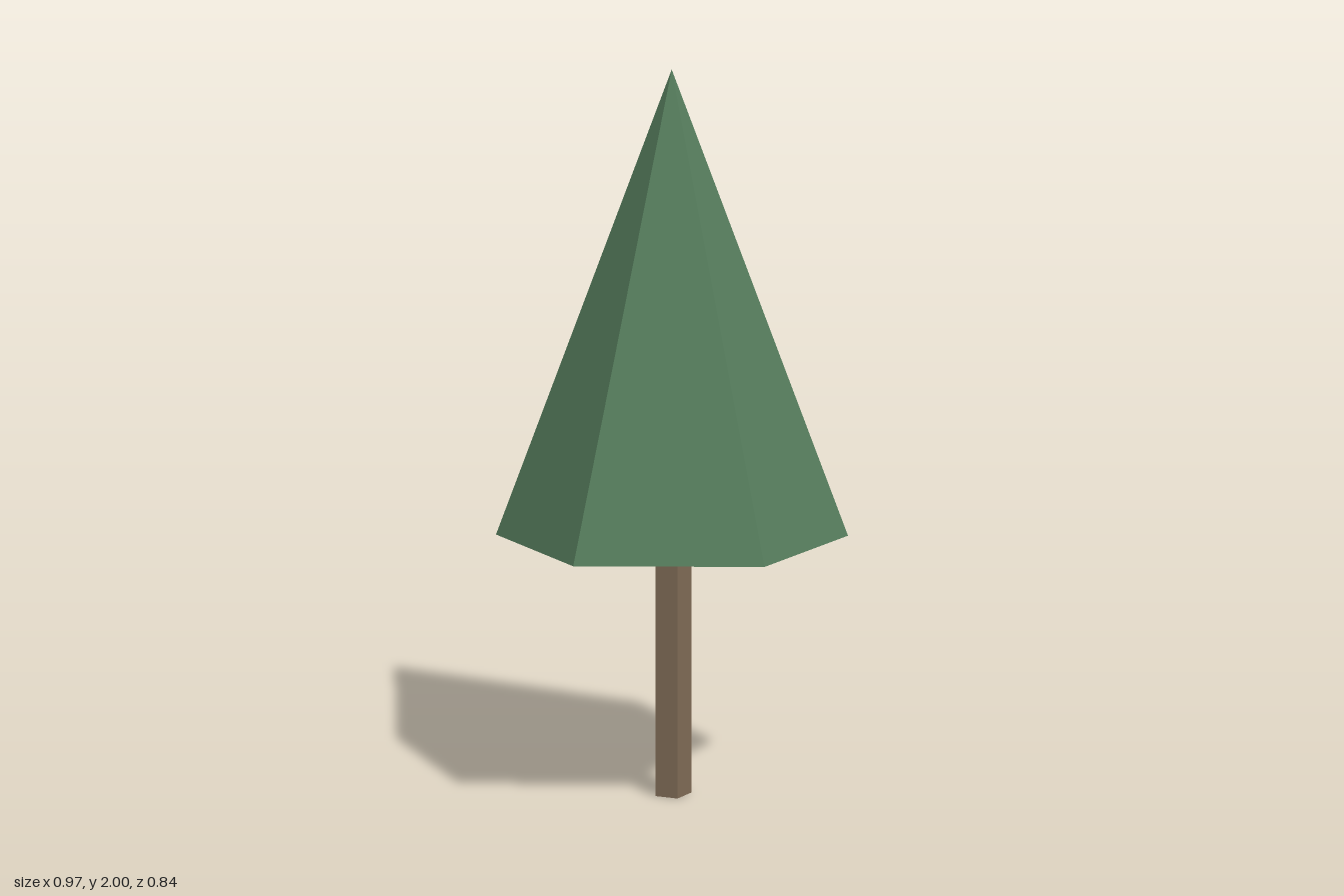
import * as THREE from 'three';

const foliageGreen = new THREE.MeshStandardMaterial({ color: 0x557c5c });
foliageGreen.name = 'foliageGreen';
foliageGreen.flatShading = true;
const barkBrown = new THREE.MeshStandardMaterial({ color: 0x7d6954 });
barkBrown.name = 'barkBrown';
barkBrown.flatShading = true;

const CROWN_BASE = 0.737;
const TOP = 2;

// Upright prism or cone with its first corner pointing to +x
function upright(name, topRadius, bottomRadius, y0, y1, sides, material) {
  const geometry = new THREE.CylinderGeometry(
    topRadius, bottomRadius, y1 - y0, sides, 1, false, Math.PI / 2);
  const mesh = new THREE.Mesh(geometry, material);
  mesh.name = name;
  mesh.position.y = (y0 + y1) / 2;
  return mesh;
}

export function createModel() {
  const tree = new THREE.Group();
  tree.name = 'tree';
  // Five-sided trunk, ending just inside the crown
  tree.add(upright('trunk', 0.055, 0.055, 0, CROWN_BASE + 0.01, 5, barkBrown));
  // Six-sided pointed crown
  tree.add(upright('crown', 0, 0.486, CROWN_BASE, TOP, 6, foliageGreen));
  return tree;
}
